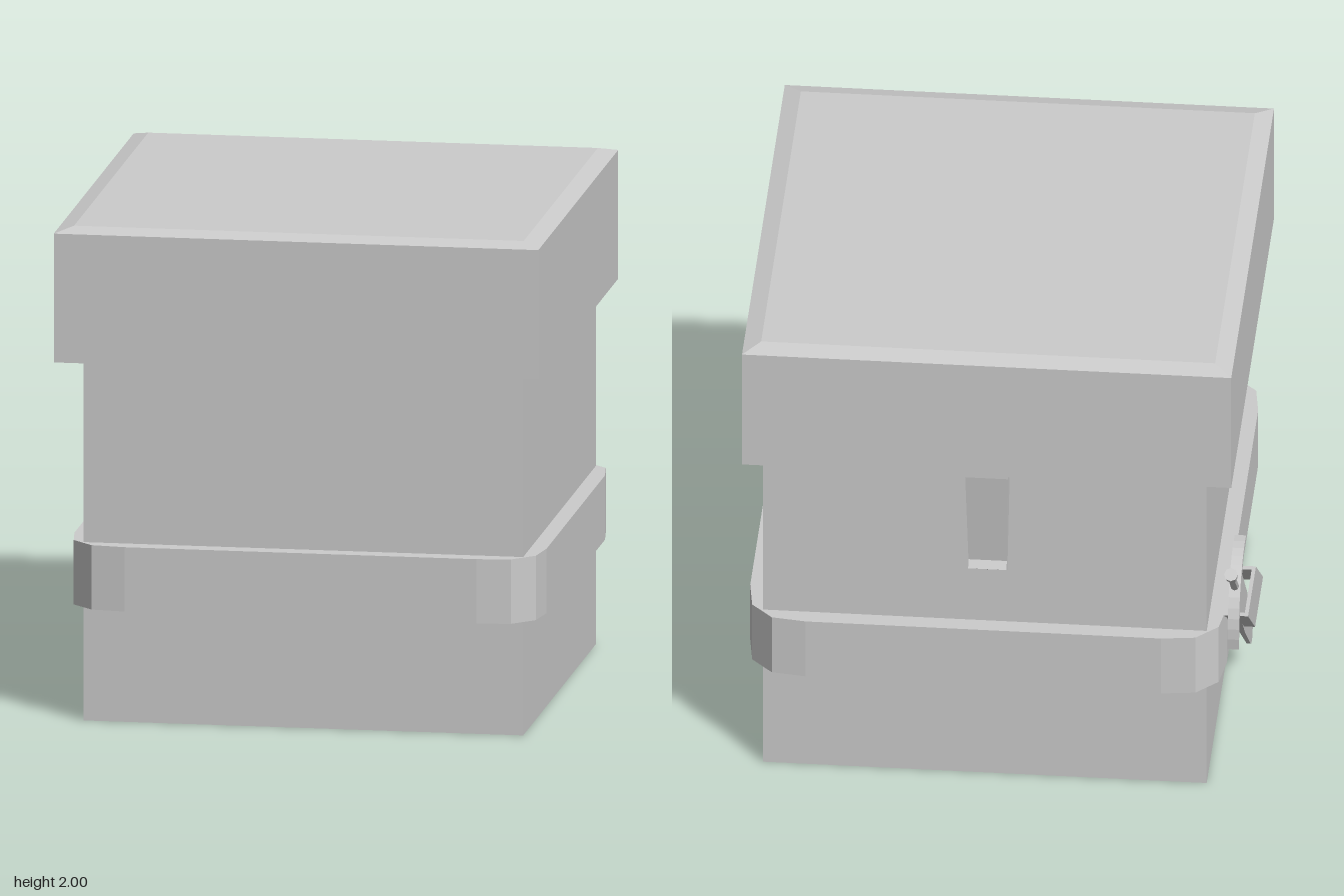
import * as THREE from 'three';

const CX = 0.035; // the box sits slightly off centre to leave room for the dagger

function grey(side = THREE.FrontSide) {
  return new THREE.MeshStandardMaterial({ color: 0xcccccc, flatShading: true, side });
}

function part(name, geometry, x = 0, y = 0, z = 0, side) {
  const mesh = new THREE.Mesh(geometry, grey(side));
  mesh.name = name;
  mesh.position.set(x, y, z);
  return mesh;
}

const shapeOf = (points) => new THREE.Shape(points.map(([x, y]) => new THREE.Vector2(x, y)));
const rect = (x0, x1, y0, y1) => [[x0, y0], [x1, y0], [x1, y1], [x0, y1]];

function extrude(shape, depth) {
  return new THREE.ExtrudeGeometry(shape, { depth, bevelEnabled: false, curveSegments: 6 });
}

// Moves every vertex of a geometry by a rule
function reshape(geometry, rule) {
  const p = geometry.attributes.position;
  const v = new THREE.Vector3();
  for (let i = 0; i < p.count; i++) {
    v.fromBufferAttribute(p, i);
    rule(v);
    p.setXYZ(i, v.x, v.y, v.z);
  }
  geometry.computeVertexNormals();
  return geometry;
}

// Lid: a block with a shallow bevel around its top face
function createLid() {
  const lid = new THREE.Group();
  lid.name = 'lid';
  lid.add(part('lidBlock', new THREE.BoxGeometry(1.94, 0.52, 1.94), 0.02, 1.72, 0));
  const bevel = reshape(new THREE.BoxGeometry(1.94, 0.02, 1.94), (v) => {
    if (v.y > 0) { v.x *= 0.9 / 0.97; v.z *= 0.9 / 0.97; }
  });
  lid.add(part('lidTop', bevel, 0.02, 1.99, 0));
  return lid;
}

// Belt: a band with faceted round corners
function createBelt() {
  const corner = [[0.945, 0.71], [0.925, 0.85], [0.84, 0.935], [0.705, 0.953]];
  const flipped = [...corner].reverse();
  const outline = shapeOf([
    ...corner,
    ...flipped.map(([x, z]) => [-x, z]),
    ...corner.map(([x, z]) => [-x, -z]),
    ...flipped.map(([x, z]) => [x, -z]),
  ]);
  outline.holes.push(shapeOf(rect(-0.877, 0.877, -0.882, 0.882)));
  return part('belt', extrude(outline, 0.26).rotateX(-Math.PI / 2), CX, 0.46, 0);
}

// Clasp: a tapering tongue hanging from the back of the lid
function createClasp() {
  const profile = shapeOf([[0.87, 1.47], [0.97, 1.47], [0.97, 1.45], [0.92, 1.03], [0.94, 1.0], [0.88, 0.96], [0.87, 0.96]]);
  const geometry = extrude(profile, 0.17).translate(0, 0, -0.085).rotateY(Math.PI / 2);
  reshape(geometry, (v) => { v.x *= 0.88 + 0.12 * (v.y - 0.96) / 0.5; });
  return part('lidClasp', geometry, 0.02);
}

// Sheath: a slanted open loop on the side of the belt
function createSheath() {
  const shape = shapeOf(rect(-1, -0.905, 0.1, 0.46));
  shape.holes.push(shapeOf(rect(-0.985, -0.92, 0.125, 0.435)));
  const geometry = extrude(shape, 0.26).rotateX(-Math.PI / 2).translate(0, 0.47, 0);
  reshape(geometry, (v) => { v.z -= (v.y - 0.47) / 0.26 * 0.32; });
  return part('sheath', geometry, 0, 0, 0, THREE.DoubleSide);
}

// Dagger: built pointing down from the pommel, then tilted
function createDagger() {
  const dagger = new THREE.Group();
  dagger.name = 'dagger';
  dagger.add(part('pommel', new THREE.CylinderGeometry(0.027, 0.023, 0.06, 8), 0, -0.03, 0));
  dagger.add(part('grip', new THREE.CylinderGeometry(0.015, 0.018, 0.24, 8), 0, -0.16, 0));

  const guard = new THREE.Shape();
  guard.moveTo(-0.23, -0.37);
  guard.quadraticCurveTo(-0.14, -0.24, 0, -0.24);
  guard.quadraticCurveTo(0.14, -0.24, 0.23, -0.37);
  guard.quadraticCurveTo(0.12, -0.28, 0, -0.28);
  guard.quadraticCurveTo(-0.12, -0.28, -0.23, -0.37);
  dagger.add(part('guard', extrude(guard, 0.045), 0, 0, -0.022));

  const blade = new THREE.Shape();
  blade.moveTo(-0.08, -0.27);
  blade.lineTo(-0.08, -0.8);
  blade.lineTo(-0.055, -1.16);
  blade.quadraticCurveTo(-0.045, -1.25, 0, -1.255);
  blade.quadraticCurveTo(0.045, -1.25, 0.055, -1.16);
  blade.lineTo(0.08, -0.8);
  blade.lineTo(0.08, -0.27);
  const bladeGeometry = extrude(blade, 0.03).translate(0, 0, -0.015);
  reshape(bladeGeometry, (v) => { v.z *= 1 + 0.55 * (v.y + 0.27); });
  dagger.add(part('blade', bladeGeometry));

  dagger.rotation.z = 0.8;
  const mount = new THREE.Group();
  mount.name = 'daggerMount';
  mount.add(dagger);
  mount.rotation.y = -Math.PI / 2;
  mount.position.set(-0.945, 1.02, -0.925);
  return mount;
}

export function createModel() {
  const model = new THREE.Group();
  model.name = 'beltedBox';
  model.add(part('body', new THREE.BoxGeometry(1.76, 1.46, 1.765), CX, 0.73, 0));
  model.add(createLid(), createBelt(), createClasp(), createSheath(), createDagger());
  return model;
}
